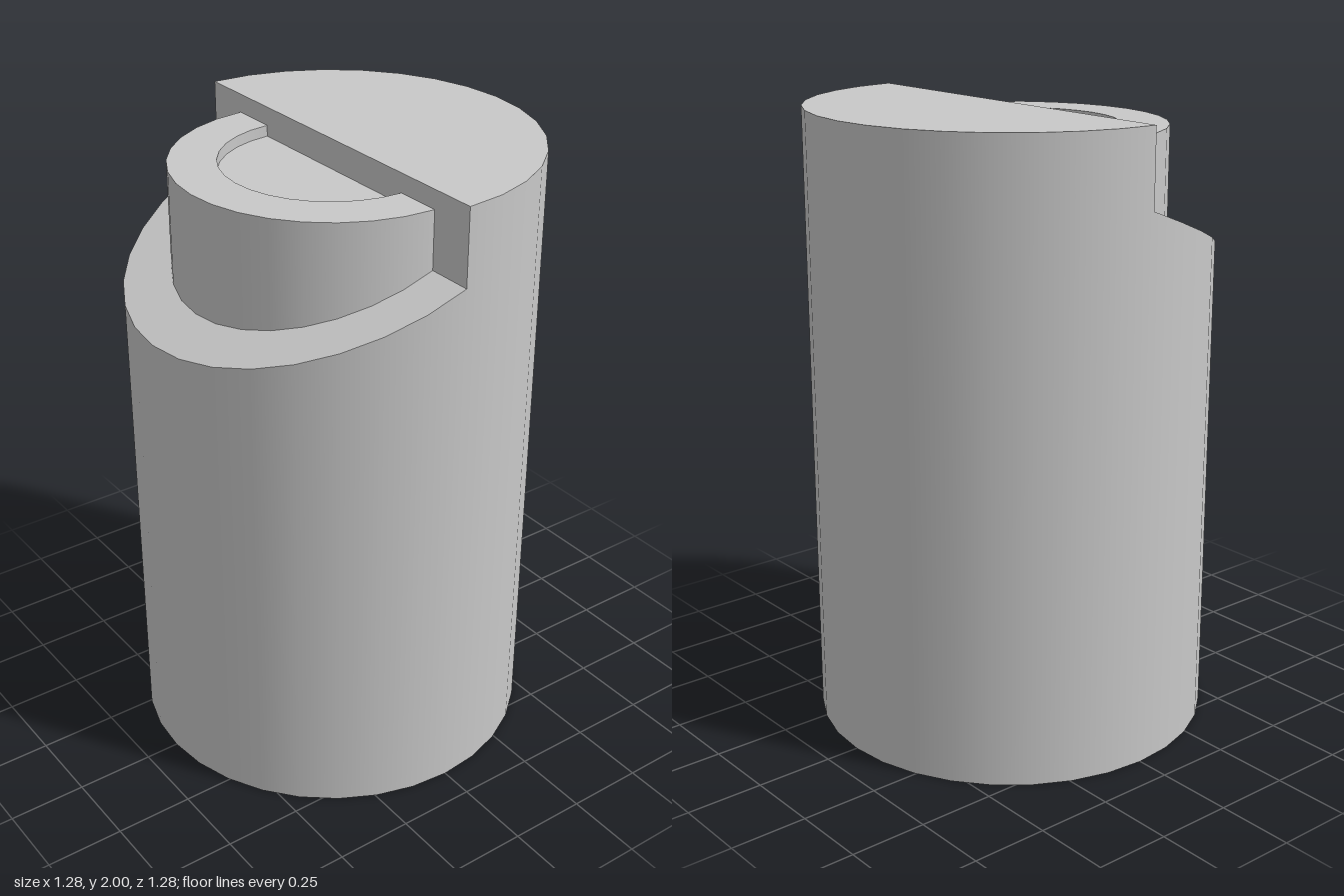
import * as THREE from 'three';

const R = 0.64, SIDES = 16;          // body radius, sides per half turn
const COLLAR = 0.49, RECESS = 0.34;  // collar outer and inner radius
const TOP = 2, COLLAR_TOP = 1.94, FLOOR = 1.905;
const LEDGE = 1.755, SLOPE = 0.39;   // sloped shoulder: y = LEDGE - SLOPE * z

export function createModel() {
  const model = new THREE.Group();
  model.name = 'cutCylinder';
  const grey = new THREE.MeshStandardMaterial({ color: 0xc8c8c8, side: THREE.DoubleSide });
  grey.name = 'grey';

  const add = (parent, name, geometry) => {
    const mesh = new THREE.Mesh(geometry, grey);
    mesh.name = name;
    parent.add(mesh);
  };
  // Half cylinder between two heights, front (+z) or back (-z)
  const half = (r, y0, y1, front, open) =>
    new THREE.CylinderGeometry(r, r, y1 - y0, SIDES, 1, open,
      front ? -Math.PI / 2 : Math.PI / 2, Math.PI).translate(0, (y0 + y1) / 2, 0);
  // Flat half ring facing up on the front side
  const halfRing = (r0, r1, y) =>
    new THREE.RingGeometry(r0, r1, SIDES, 1, Math.PI, Math.PI)
      .rotateX(-Math.PI / 2).translate(0, y, 0);

  // Tall rear half with its flat upright face
  add(model, 'rearHalf', half(R, 0, TOP, false, false));
  add(model, 'uprightFace',
    new THREE.PlaneGeometry(2 * R, TOP - LEDGE).translate(0, (TOP + LEDGE) / 2, 0));

  // Lower front half, its top slanted down towards the front
  const front = half(R, 0, LEDGE, true, false);
  const pos = front.attributes.position, nor = front.attributes.normal;
  const up = new THREE.Vector3(0, 1, SLOPE).normalize();
  for (let i = 0; i < pos.count; i++) {
    if (pos.getY(i) > 1) pos.setY(i, LEDGE - SLOPE * pos.getZ(i));
    if (nor.getY(i) > 0.5) nor.setXYZ(i, up.x, up.y, up.z);
  }
  add(model, 'frontHalf', front);

  // Half-round collar with a shallow recess
  const collar = new THREE.Group();
  collar.name = 'collar';
  model.add(collar);
  add(collar, 'collarWall', half(COLLAR, 1.5, COLLAR_TOP, true, true));
  add(collar, 'collarRim', halfRing(RECESS, COLLAR, COLLAR_TOP));
  add(collar, 'recessWall', half(RECESS, FLOOR, COLLAR_TOP, true, true));
  add(collar, 'recessFloor', halfRing(0, RECESS, FLOOR));

  return model;
}
